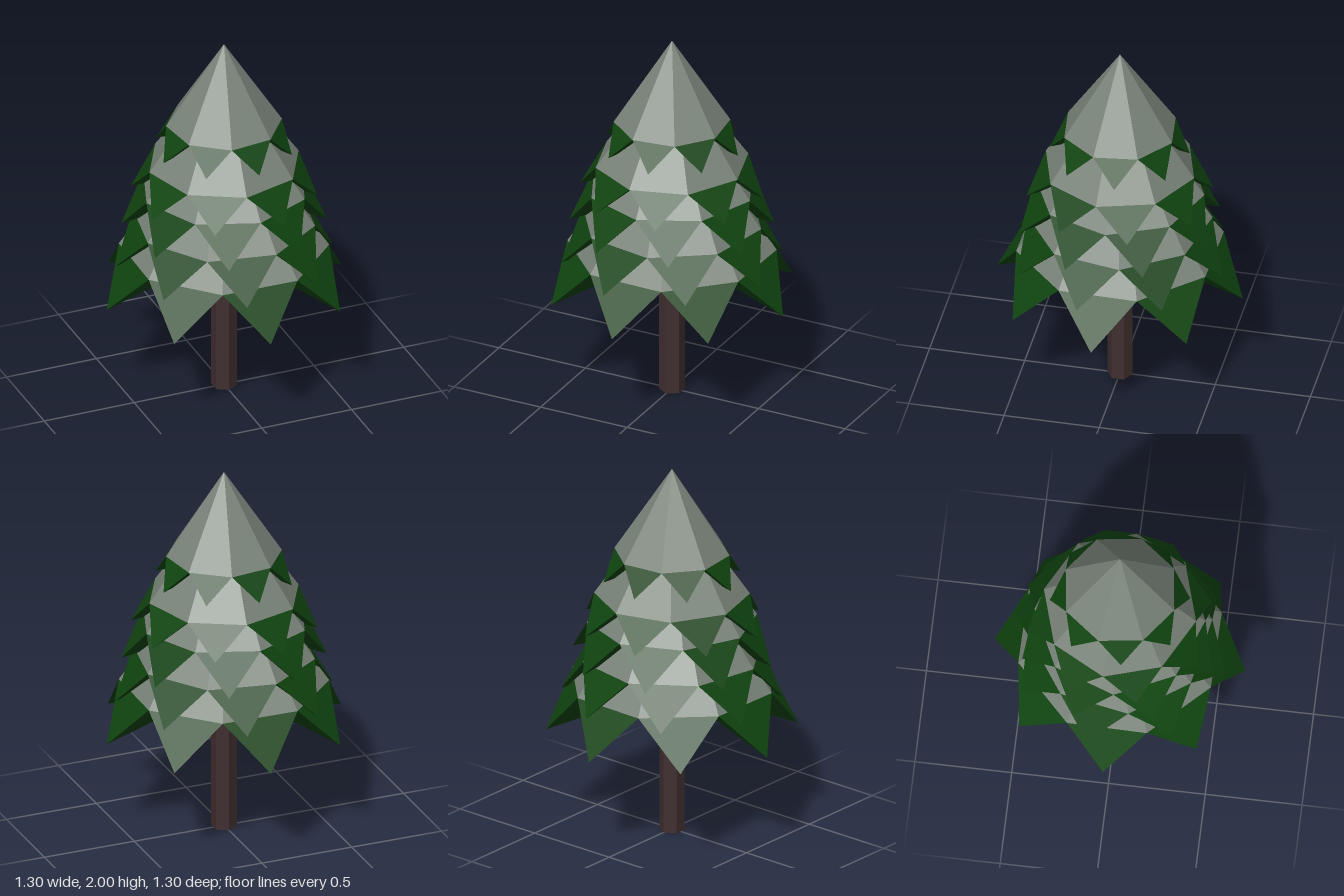
import * as THREE from 'three';

const mat = (name, color) => {
  const m = new THREE.MeshStandardMaterial({ color, flatShading: true });
  m.name = name;
  return m;
};

// Flat-faced mesh from a list of triangle corners
function facetMesh(name, corners, material) {
  const geo = new THREE.BufferGeometry().setFromPoints(corners);
  geo.computeVertexNormals();
  const mesh = new THREE.Mesh(geo, material);
  mesh.name = name;
  return mesh;
}

const SIDES = 8;
const STEP = 360 / SIDES;
const polar = (r, deg, y) => {
  const a = THREE.MathUtils.degToRad(deg);
  return new THREE.Vector3(r * Math.cos(a), y, -r * Math.sin(a));
};

// One tier: an eight-sided snow cone, a drooping needle tip on each rim edge, and an underside
function createTier({ radius, rimY, tipY, turn, apexY }, snow, needles) {
  const apex = new THREE.Vector3(0, apexY, 0);
  const hub = new THREE.Vector3(0, rimY - 0.04, 0);
  const cone = [], tips = [], under = [];
  for (let i = 0; i < SIDES; i++) {
    const a = turn + i * STEP;
    const left = polar(radius, a, rimY);
    const right = polar(radius, a + STEP, rimY);
    const tip = polar(radius * 1.2, a + STEP / 2, tipY);
    cone.push(apex, left, right);
    tips.push(left, tip, right);
    under.push(hub, tip, left, hub, right, tip);
  }
  const tier = new THREE.Group();
  tier.add(
    facetMesh('snowCone', cone, snow),
    facetMesh('needleTips', tips, needles),
    facetMesh('needleUnderside', under, needles)
  );
  return tier;
}

export function createModel() {
  const snow = mat('snow', 0x7a847a);
  const needles = mat('needles', 0x104510);
  const bark = mat('bark', 0x402e2f);
  const cutWood = mat('cutWood', 0x5a4c2c);

  const tree = new THREE.Group();
  tree.name = 'snowyPine';

  // Hexagonal trunk with a pale cut base
  const trunkGeo = new THREE.CylinderGeometry(0.066, 0.066, 0.9, 6);
  const trunk = new THREE.Mesh(trunkGeo, [bark, bark, cutWood]);
  trunk.name = 'trunk';
  trunk.position.y = 0.45;
  tree.add(trunk);

  // Tiers from top to bottom, each turned a little further
  const tiers = [
    { radius: 0.3, rimY: 1.54, tipY: 1.4, turn: 30, apexY: 2 },
    { radius: 0.4, rimY: 1.31, tipY: 1.14, turn: 39.2, apexY: 1.88 },
    { radius: 0.44, rimY: 1.17, tipY: 0.96, turn: 47.5, apexY: 1.8 },
    { radius: 0.475, rimY: 0.98, tipY: 0.76, turn: 56.8, apexY: 1.66 },
    { radius: 0.54, rimY: 0.825, tipY: 0.57, turn: 66.5, apexY: 1.6 }
  ];
  tiers.forEach((t, i) => {
    const tier = createTier(t, snow, needles);
    tier.name = `branchTier${i + 1}`;
    tree.add(tier);
  });
  return tree;
}
